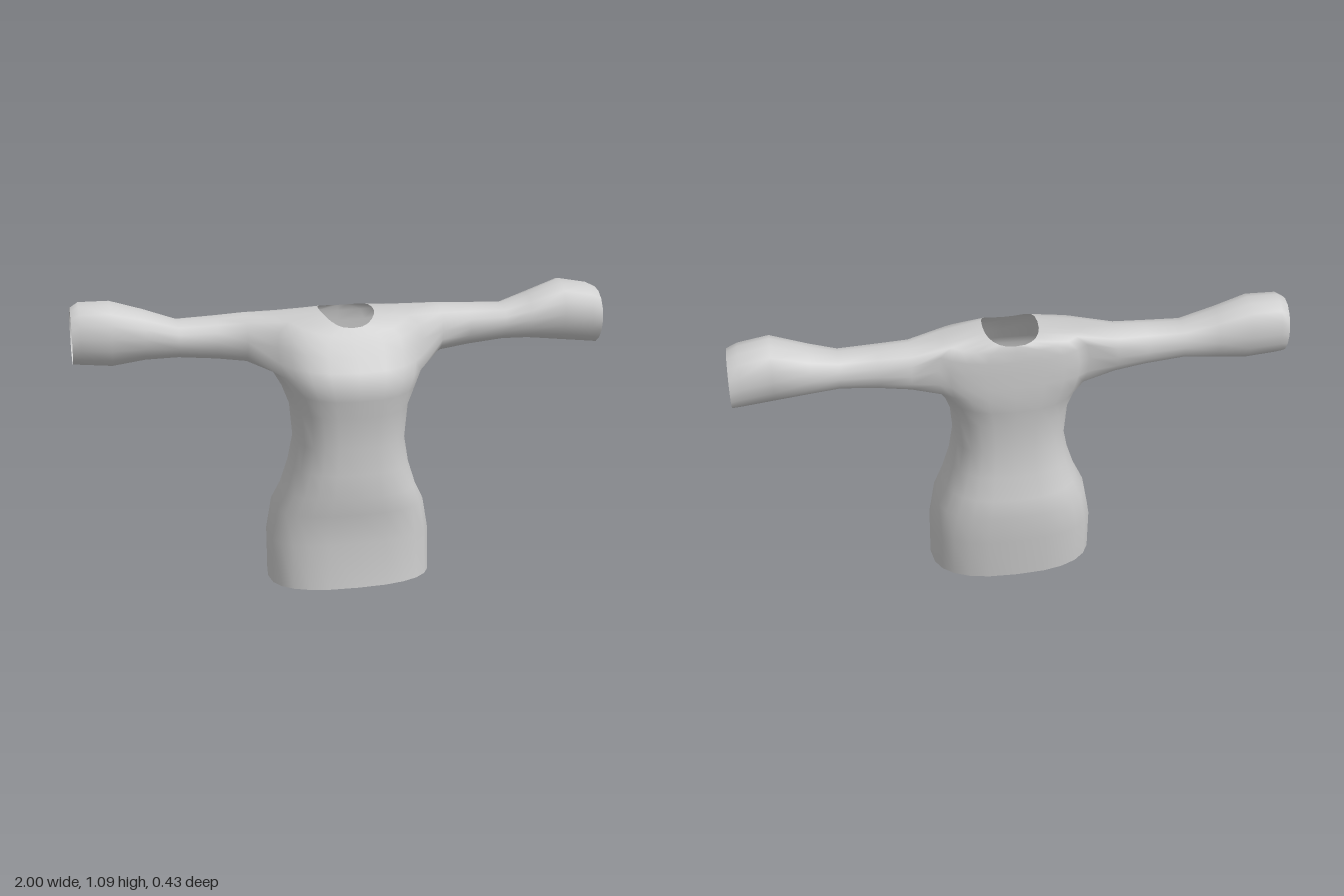
import * as THREE from 'three';

const COLS = 24;              // points round the torso, column 0 at +x, column 6 at the front
const HOLE = 2;               // armhole reaches this many columns either side of the flank
const ROW0 = 8, ROW1 = 12;    // torso rows between which the armhole opens

// Torso rows: height at side / front / back, half width, z of the flank, z of front, z of back
const TORSO = [
  [0.00, 0.00, 0.00, 0.312, 0.00, 0.188, -0.200],
  [0.17, 0.17, 0.17, 0.312, -0.01, 0.168, -0.208],
  [0.29, 0.29, 0.29, 0.290, -0.01, 0.182, -0.214],
  [0.36, 0.36, 0.36, 0.255, 0.00, 0.194, -0.198],
  [0.45, 0.45, 0.45, 0.226, 0.00, 0.190, -0.175],
  [0.55, 0.55, 0.55, 0.208, 0.01, 0.188, -0.160],
  [0.68, 0.67, 0.67, 0.220, 0.01, 0.194, -0.160],
  [0.76, 0.74, 0.74, 0.250, 0.00, 0.215, -0.172],
  [0.82, 0.80, 0.80, 0.285, -0.05, 0.214, -0.175],
  [0.87, 0.84, 0.85, 0.300, -0.08, 0.190, -0.174],
  [0.93, 0.89, 0.90, 0.305, -0.08, 0.160, -0.172],
  [0.985, 0.93, 0.95, 0.295, -0.08, 0.135, -0.170],
  [1.02, 0.96, 0.99, 0.250, -0.08, 0.115, -0.165],
  [1.03, 0.985, 1.013, 0.100, -0.03, 0.095, -0.158],
];

// Sleeve rings: distance from centre, top, bottom, front z, back z
const UPPER_ARM = [
  [0.37, 1.022, 0.838, 0.000, -0.166],
  [0.48, 1.016, 0.855, -0.003, -0.160],
  [0.62, 1.010, 0.869, -0.006, -0.156],
];
const CUFFS = {
  left: [
    [0.72, 1.042, 0.866, 0.006, -0.180],
    [0.85, 1.090, 0.850, 0.014, -0.187],
    [0.96, 1.070, 0.838, 0.016, -0.188],
    [1.00, 1.050, 0.834, 0.015, -0.186],
  ],
  right: [
    [0.74, 1.052, 0.864, -0.003, -0.176],
    [0.86, 1.090, 0.848, 0.010, -0.180],
    [0.97, 1.090, 0.858, 0.002, -0.178],
    [1.00, 1.070, 0.862, 0.000, -0.174],
  ],
};

const soft = (v, p) => Math.sign(v) * Math.abs(v) ** p;

export function createModel() {
  const points = [];
  const faces = { torso: [], leftSleeve: [], rightSleeve: [] };
  const addPoint = (x, y, z) => points.push(x, y, z) / 3 - 1;
  const quad = (list, a, b, c, d, flip) =>
    flip ? list.push(a, b, c, a, c, d) : list.push(a, d, c, a, c, b);

  // Torso rings, a rounded oblong whose front and back differ
  const rows = TORSO.map(([yS, yF, yB, w, zS, zF, zB]) =>
    Array.from({ length: COLS }, (_, j) => {
      const a = (j / COLS) * Math.PI * 2, s = Math.sin(a);
      const y = yS + ((s > 0 ? yF : yB) - yS) * s * s;
      const z = zS + Math.abs(soft(s, 0.78)) * ((s > 0 ? zF : zB) - zS);
      return addPoint(w * soft(Math.cos(a), 0.78), y, z);
    }));
  const at = (r, j) => rows[r][(j + COLS) % COLS];

  // Torso skin, leaving an armhole on each flank; hem and neck stay open
  const inHole = (r, j) => r >= ROW0 && r < ROW1 &&
    [0, COLS / 2, COLS].some(c => j >= c - HOLE && j < c + HOLE);
  for (let r = 0; r < rows.length - 1; r++)
    for (let j = 0; j < COLS; j++)
      if (!inHole(r, j))
        quad(faces.torso, at(r, j), at(r, j + 1), at(r + 1, j + 1), at(r + 1, j));

  // Sleeves grow from the armhole edge, so the skin is continuous
  for (const side of ['left', 'right']) {
    const sign = side === 'left' ? 1 : -1;
    const col = j => (sign > 0 ? j : COLS / 2 - j);
    let ring = [];
    for (let j = -HOLE; j < HOLE; j++) ring.push(at(ROW0, col(j)));
    for (let r = ROW0; r < ROW1; r++) ring.push(at(r, col(HOLE)));
    for (let j = HOLE; j > -HOLE; j--) ring.push(at(ROW1, col(j)));
    for (let r = ROW1; r > ROW0; r--) ring.push(at(r, col(-HOLE)));
    const n = ring.length;

    for (const [x, top, bottom, front, back] of [...UPPER_ARM, ...CUFFS[side]]) {
      const next = ring.map((_, i) => {
        const a = (0.625 + i / n) * Math.PI * 2;
        return addPoint(sign * x,
          (top + bottom) / 2 + Math.sin(a) * (top - bottom) / 2,
          (front + back) / 2 + Math.cos(a) * (front - back) / 2);
      });
      for (let i = 0; i < n; i++) {
        const k = (i + 1) % n;
        quad(faces[side + 'Sleeve'], ring[i], ring[k], next[k], next[i], sign < 0);
      }
      ring = next;
    }
  }

  // Shared smooth normals across all parts
  const whole = new THREE.BufferGeometry();
  whole.setAttribute('position', new THREE.Float32BufferAttribute(points, 3));
  whole.setIndex(Object.values(faces).flat());
  whole.computeVertexNormals();

  const material = new THREE.MeshStandardMaterial({ color: 0xcccccc, side: THREE.DoubleSide });
  const group = new THREE.Group();
  group.name = 'longSleevedShirt';
  for (const [name, index] of Object.entries(faces)) {
    whole.setIndex(index);
    const mesh = new THREE.Mesh(whole.toNonIndexed(), material);
    mesh.name = name;
    group.add(mesh);
  }
  return group;
}
